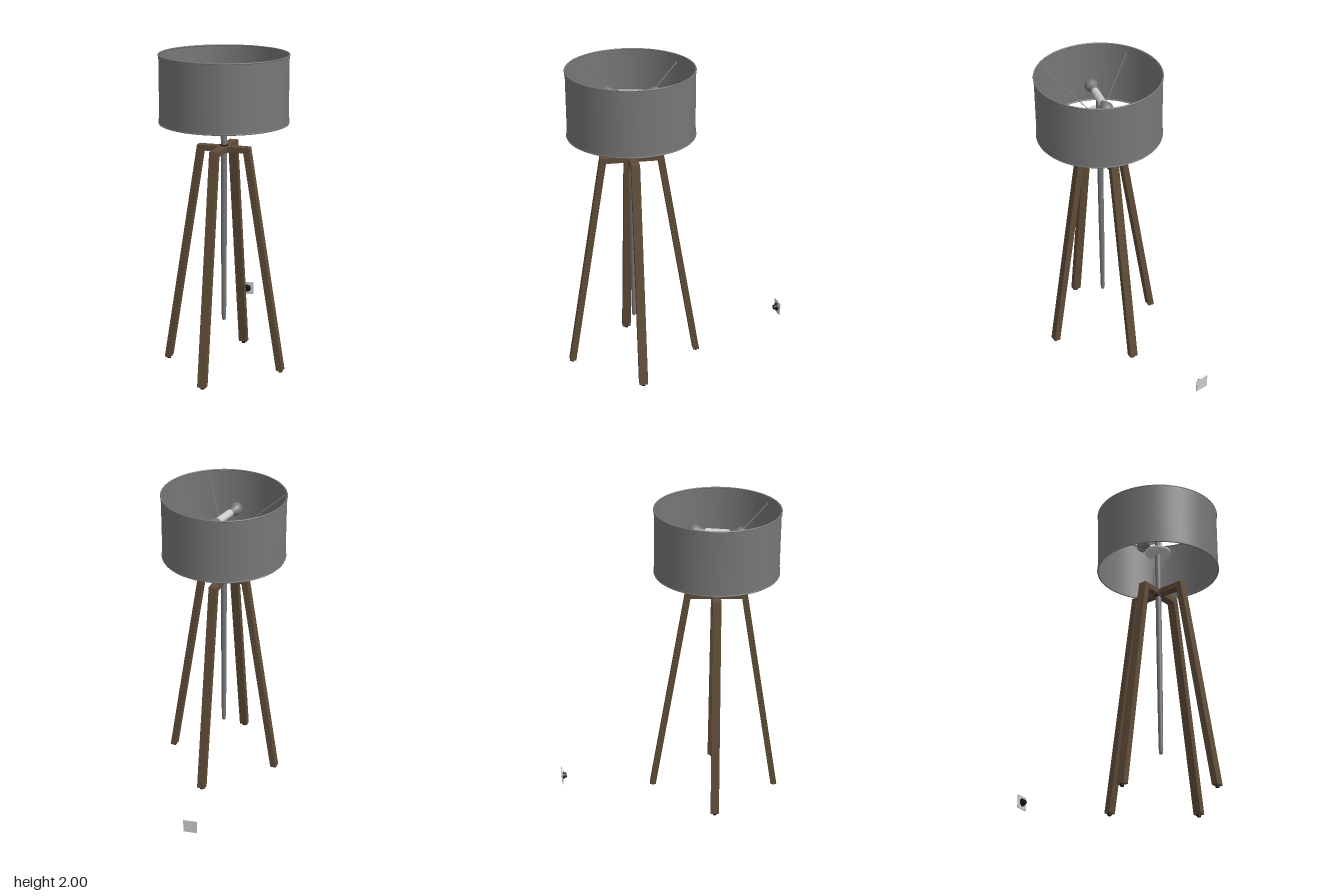
import * as THREE from 'three';

const material = (color, side = THREE.FrontSide) =>
  new THREE.MeshStandardMaterial({ color, side });
const grey = material(0xcccccc);
const darkGrey = material(0x777777);
const fabric = material(0x777777, THREE.DoubleSide);
const wood = material(0x604c38);
const black = material(0x151515);

function add(parent, name, geometry, mat, x = 0, y = 0, z = 0) {
  const mesh = new THREE.Mesh(geometry, mat);
  mesh.name = name;
  mesh.position.set(x, y, z);
  parent.add(mesh);
  return mesh;
}

const lathe = (points, segments = 32) =>
  new THREE.LatheGeometry(points.map(([r, y]) => new THREE.Vector2(r, y)), segments);

// Thin rod between two points
const rod = (a, b, r) =>
  new THREE.TubeGeometry(new THREE.LineCurve3(new THREE.Vector3(...a), new THREE.Vector3(...b)), 1, r, 8);

// One slanted leg with its half of the crossbar, as a single bent profile
function legGeometry(start, topR, footR) {
  const width = 0.054, thick = 0.04;
  const low = topR - thick + (footR - topR) * 0.025;
  const shape = new THREE.Shape([
    [start, 1.4], [low, 1.4], [footR - thick, 0.014], [footR, 0.014],
    [topR, 1.435], [start, 1.435],
  ].map(([x, y]) => new THREE.Vector2(x, y)));
  const geometry = new THREE.ExtrudeGeometry(shape, { depth: width, bevelEnabled: false });
  return geometry.translate(0, 0, -width / 2);
}

function makeLegs() {
  const legs = new THREE.Group();
  legs.name = 'legs';
  for (let i = 0; i < 4; i++) {
    const long = i % 2 === 1;
    const footR = long ? 0.432 : 0.395;
    const leg = new THREE.Group();
    leg.name = 'leg';
    leg.rotation.y = THREE.MathUtils.degToRad(-20 + 90 * i);
    add(leg, 'legAndCrossbar', legGeometry(long ? 0 : 0.027, long ? 0.198 : 0.166, footR), wood);
    add(leg, 'footPad', new THREE.CylinderGeometry(0.012, 0.012, 0.016, 16), black, footR - 0.02, 0.008);
    legs.add(leg);
  }
  return legs;
}

function makeShade() {
  const shade = new THREE.Group();
  shade.name = 'shade';
  const r = 0.394;
  add(shade, 'shadeWall', new THREE.CylinderGeometry(r, r, 0.41, 64, 1, true), fabric, 0, 1.79);
  // Hems and rim wires
  for (const [y, rimY] of [[1.595, 1.583], [1.987, 1.995]]) {
    add(shade, 'hem', new THREE.CylinderGeometry(r + 0.003, r + 0.003, 0.022, 64, 1, true), fabric, 0, y);
    add(shade, 'rim', new THREE.TorusGeometry(r, 0.005, 8, 64).rotateX(Math.PI / 2), darkGrey, 0, rimY);
  }
  // Spokes from the hub up to the rim
  for (let i = 0; i < 4; i++) {
    const spoke = add(shade, 'spoke', rod([0.06, 1.72, 0], [r, 1.95, 0], 0.0025), darkGrey);
    spoke.rotation.y = THREE.MathUtils.degToRad(14.5 + 90 * i);
  }
  return shade;
}

function makeBulbs() {
  const bulbs = new THREE.Group();
  bulbs.name = 'bulbs';
  bulbs.position.y = 1.84;
  bulbs.rotation.y = THREE.MathUtils.degToRad(60);
  add(bulbs, 'doubleSocket', new THREE.CylinderGeometry(0.024, 0.024, 0.15, 24).rotateZ(Math.PI / 2), grey);
  // Pear-shaped bulb profile, neck first
  const profile = [[0.017, 0.07], [0.019, 0.085], [0.026, 0.105]];
  for (let i = 0; i <= 12; i++) {
    const a = -0.75 + (Math.PI / 2 + 0.75) * i / 12;
    profile.push([Math.max(0, 0.043 * Math.cos(a)), 0.145 + 0.043 * Math.sin(a)]);
  }
  for (const side of [0, Math.PI]) {
    const bulb = add(bulbs, 'bulb', lathe(profile, 24).rotateZ(-Math.PI / 2), darkGrey);
    bulb.rotation.y = side;
  }
  return bulbs;
}

function makeFootSwitch() {
  const dimmer = new THREE.Group();
  dimmer.name = 'wallDimmer';
  dimmer.position.set(0.19, 0.172, -0.708);
  dimmer.rotation.y = -0.2;
  add(dimmer, 'plate', new THREE.BoxGeometry(0.088, 0.088, 0.006), grey);
  add(dimmer, 'knobBase', new THREE.CylinderGeometry(0.024, 0.026, 0.01, 24).rotateX(Math.PI / 2), black, 0, 0, 0.007);
  add(dimmer, 'knob', new THREE.CylinderGeometry(0.016, 0.018, 0.018, 24).rotateX(Math.PI / 2), black, 0, 0, 0.02);
  return dimmer;
}

export function createModel() {
  const model = new THREE.Group();
  const lamp = new THREE.Group();
  lamp.name = 'floorLamp';
  lamp.position.z = 0.302;
  model.add(lamp, makeFootSwitch());
  lamp.add(makeLegs(), makeShade(), makeBulbs());

  // Hanging pole with a rounded, narrower tip
  add(lamp, 'pole', lathe([
    [0, 0.305], [0.008, 0.307], [0.012, 0.316], [0.014, 0.34], [0.016, 0.5],
    [0.018, 0.9], [0.019, 1.4], [0.019, 1.82], [0, 1.82],
  ]), darkGrey);
  add(lamp, 'collar', new THREE.CylinderGeometry(0.024, 0.024, 0.05, 24), black, 0, 1.417);

  // Shallow canopy disc under the bulbs
  add(lamp, 'canopy', lathe([
    [0, 1.70], [0.04, 1.70], [0.08, 1.715], [0.085, 1.722], [0.085, 1.73], [0.085, 1.73], [0, 1.735],
  ], 40), grey);

  // Pair of pull chains
  for (const s of [1, -1]) {
    const x = 0.018 * s, z = -0.035 * s;
    add(lamp, 'pullChain', rod([x, 1.5, z], [x, 1.82, z], 0.0018), darkGrey);
    add(lamp, 'chainPull', new THREE.CylinderGeometry(0.002, 0.004, 0.022, 12), darkGrey, x, 1.495, z);
  }
  return model;
}
